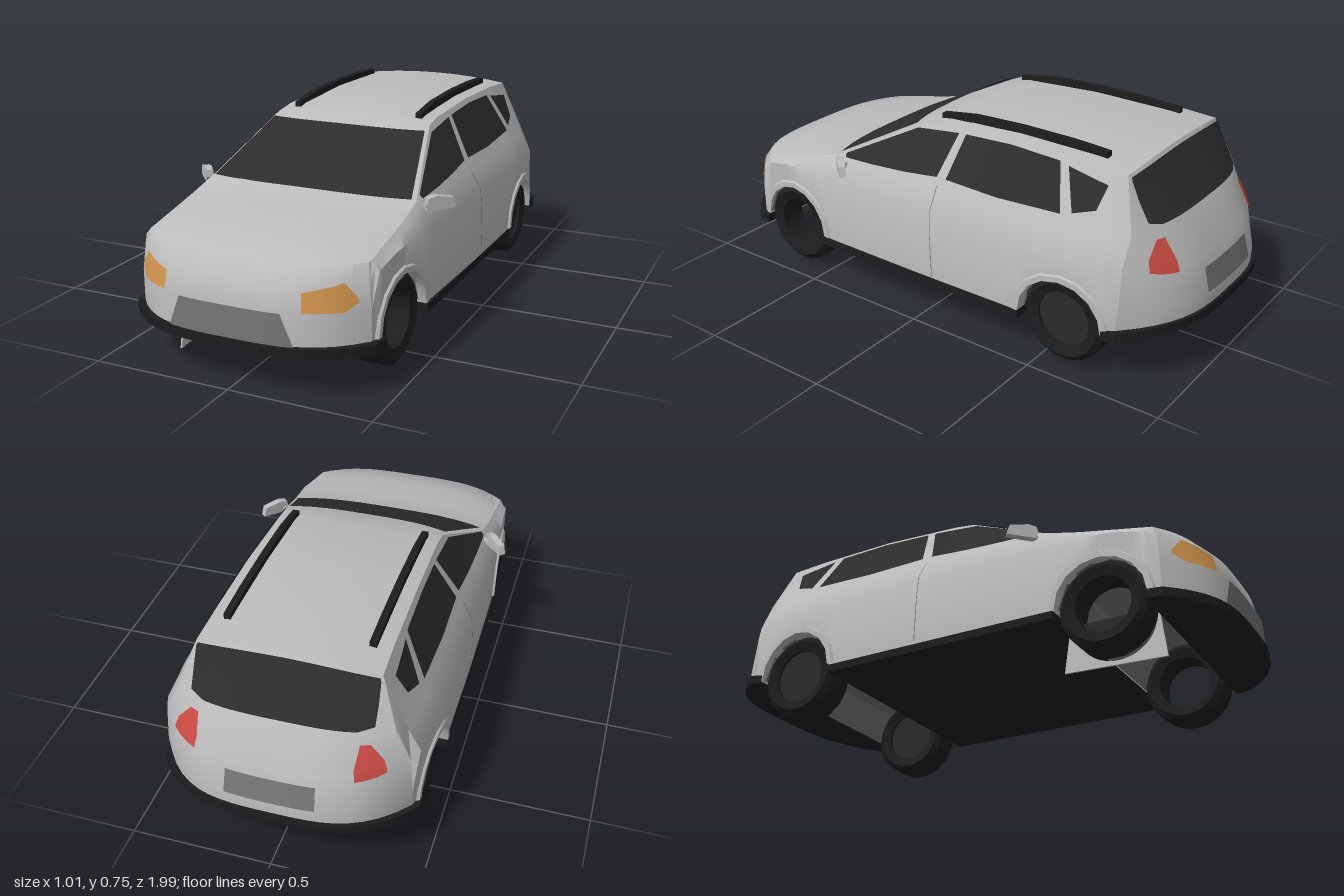
import * as THREE from 'three';
import { toCreasedNormals } from 'three/addons/utils/BufferGeometryUtils.js';

const mat = (name, color) => new THREE.MeshStandardMaterial({ name, color, side: THREE.DoubleSide });

// Rows over the body from front bumper to rear bumper:
// centre z, centre y, edge x, edge z, edge y
const ROWS = [
  [0.985, 0.16, 0.42, 0.83, 0.16], [0.98, 0.28, 0.42, 0.83, 0.28],
  [0.96, 0.365, 0.41, 0.825, 0.37], [0.905, 0.418, 0.40, 0.805, 0.42],
  [0.76, 0.465, 0.40, 0.66, 0.45], [0.6, 0.493, 0.40, 0.54, 0.475],
  [0.46, 0.513, 0.395, 0.42, 0.508], [0.11, 0.69, 0.305, 0.08, 0.687],
  [0, 0.72, 0.302, 0, 0.70], [-0.3, 0.735, 0.305, -0.3, 0.715],
  [-0.6, 0.73, 0.307, -0.6, 0.71], [-0.755, 0.72, 0.31, -0.745, 0.70],
  [-0.87, 0.53, 0.37, -0.80, 0.53], [-0.95, 0.40, 0.42, -0.80, 0.42],
  [-0.985, 0.27, 0.43, -0.80, 0.28], [-0.985, 0.215, 0.43, -0.79, 0.20],
];
const WIDTHS = [[0.84, 0.425], [0.45, 0.452], [0, 0.46], [-0.55, 0.46], [-0.8, 0.435]];
const AXLES = [0.63, -0.59], WHEEL_Y = 0.175, ARCH = 0.16;
const { lerp } = THREE.MathUtils;

// Linear lookup in knots [z, value...] with falling z
function lookup(knots, z, k = 1) {
  let i = 0;
  while (i < knots.length - 2 && z < knots[i + 1][0]) i++;
  const a = knots[i], b = knots[i + 1];
  return lerp(a[k], b[k], THREE.MathUtils.clamp((z - a[0]) / (b[0] - a[0]), 0, 1));
}

// Point on the middle surface, r = row number, t = -1..1 across
function centre(r, t, lift = 0) {
  const i = Math.min(Math.floor(r), ROWS.length - 2);
  const [zc, yc, xe, ze, ye] = ROWS[i].map((v, k) => lerp(v, ROWS[i + 1][k], r - i));
  const dz = ROWS[i + 1][0] - ROWS[i][0], dy = ROWS[i + 1][1] - ROWS[i][1], l = Math.hypot(dz, dy);
  return [xe * t, lerp(yc, ye, t * t) - dz / l * lift, lerp(zc, ze, Math.abs(t) ** 3.4) + dy / l * lift];
}

// Flank section at z, from upper edge down to the sill
const EDGE = ROWS.slice(3, 13).map(r => [r[3], r[2], r[4]]);
function section(z) {
  const x = lookup(EDGE, z, 1), y = lookup(EDGE, z, 2), w = lookup(WIDTHS, z);
  let sill = 0.17;
  for (const a of AXLES) {
    const d = Math.abs(z - a);
    if (d < ARCH) sill = WHEEL_Y + Math.sqrt(ARCH * ARCH - d * d);
  }
  return [[x, y, z], [Math.max(x + 0.015, 0.9 * w), Math.min(0.5, y - 0.015), z],
    [w, Math.min(0.42, y - 0.03), z], [w, sill, z]];
}
function flankPoint(z, y, lift) {
  const s = section(z);
  let i = 0;
  while (i < 2 && y < s[i + 1][1]) i++;
  return [lerp(s[i][0], s[i + 1][0], (y - s[i][1]) / (s[i + 1][1] - s[i][1])) + lift, y, z];
}

// Surface from a table of points
function grid(rows) {
  const n = rows[0].length, index = [];
  for (let i = 0; i < rows.length - 1; i++) for (let j = 0; j < n - 1; j++) {
    const a = i * n + j, b = a + n;
    index.push(a, a + 1, b, a + 1, b + 1, b);
  }
  const g = new THREE.BufferGeometry();
  g.setAttribute('position', new THREE.Float32BufferAttribute(rows.flat(2), 3));
  g.setIndex(index);
  return toCreasedNormals(g, 0.75);
}
const mirrored = (rows, s) => s > 0 ? rows : rows.map(c => c.map(([x, y, z]) => [-x, y, z]).reverse());
const steps = (a, b, n) => Array.from({ length: n + 1 }, (_, i) => lerp(a, b, i / n));

// Thin plate on the middle surface; cols = [t, front row, rear row] with rising t
function centrePlate(cols) {
  const ts = [];
  cols.slice(1).forEach((c, i) => ts.push(...steps(cols[i][0], c[0], Math.ceil((c[0] - cols[i][0]) / 0.09)).slice(i ? 1 : 0)));
  const knots = cols.map(c => [-c[0], c[1], c[2]]);
  return grid(steps(0, 1, 4).map(u => ts.map(t => centre(lerp(lookup(knots, -t, 1), lookup(knots, -t, 2), u), t, 0.007))));
}

// Thin plate on the flank between an upper and a lower line of [z, y]
function flankPlate(top, low, side) {
  const f = (line, u) => {
    const n = line.length - 1, i = Math.min(Math.floor(u * n), n - 1), v = u * n - i;
    return [lerp(line[i][0], line[i + 1][0], v), lerp(line[i][1], line[i + 1][1], v)];
  };
  return grid(mirrored(steps(0, 1, 12).map(u => {
    const a = f(top, u), b = f(low, u);
    return steps(0, 1, 4).map(v => flankPoint(lerp(a[0], b[0], v), lerp(a[1], b[1], v), 0.006));
  }), side));
}

export function createModel() {
  const car = new THREE.Group();
  car.name = 'car';
  const paint = mat('silverPaint', 0xbcbcbc), glass = mat('darkGlass', 0x2d2d2d), black = mat('blackTrim', 0x1d1d1d);
  const amber = mat('amberLamp', 0xd29550), red = mat('redLamp', 0xc84a44), grey = mat('greyPanel', 0x757575);
  const hubGrey = mat('hubGrey', 0x2a2a2a);
  const add = (name, geo, m, x = 0, y = 0, z = 0) => {
    const mesh = new THREE.Mesh(geo, m);
    mesh.name = name;
    mesh.position.set(x, y, z);
    car.add(mesh);
    return mesh;
  };
  // Outline drawn in (-z, y), given thickness along x
  const sideExtrude = (shape, depth) =>
    new THREE.ExtrudeGeometry(shape, { depth, bevelEnabled: false, curveSegments: 16 }).rotateY(Math.PI / 2);

  // Nose, bonnet, roof and tail
  add('bodyTop', grid(ROWS.map((_, i) => steps(-1, 1, 20).map(t => centre(i, t)))), paint);
  add('windscreen', centrePlate([[-0.965, 6, 6.9], [0.965, 6, 6.9]]), glass);
  add('rearWindow', centrePlate([[-0.97, 11.06, 11.12], [-0.85, 11.06, 11.88], [-0.7, 11.06, 11.96],
    [0.7, 11.06, 11.96], [0.85, 11.06, 11.88], [0.97, 11.06, 11.12]]), glass);
  add('grille', centrePlate([[-0.535, 0.05, 0.08], [-0.43, 0.05, 0.99], [0.43, 0.05, 0.99], [0.535, 0.05, 0.08]]), grey);
  add('numberPlatePanel', centrePlate([[-0.36, 13.25, 13.9], [0.36, 13.25, 13.9]]), grey);

  // Flank columns follow the wheel arches
  const zs = [0.25, 0.42, 0.08, 0, -0.15, -0.3];
  for (const a of AXLES) for (let i = 0; i <= 12; i++) zs.push(a + ARCH * Math.cos(i * Math.PI / 12));
  zs.sort((a, b) => b - a);
  const edgeOf = i => { const r = ROWS[i]; return [r[2], r[4], r[3]]; };
  const flank = [[3, 2, 1, 0].map(edgeOf), ...zs.map(section), [12, 13, 14, 15].map(edgeOf)];

  for (const s of [1, -1]) {
    const side = s > 0 ? 'left' : 'right';
    add(side + 'Flank', grid(mirrored(flank, s)), paint);
    add(side + 'FrontWindow', flankPlate([[0.39, 0.522], [0.245, 0.595], [0.10, 0.668], [-0.08, 0.688]],
      [[0.385, 0.51], [0.25, 0.515], [0.10, 0.525], [-0.04, 0.54]], s), glass);
    add(side + 'RearDoorWindow', flankPlate([[-0.11, 0.69], [-0.3, 0.7], [-0.5, 0.693]],
      [[-0.08, 0.54], [-0.3, 0.535], [-0.55, 0.545]], s), glass);
    add(side + 'QuarterWindow', flankPlate([[-0.535, 0.685], [-0.69, 0.66]], [[-0.59, 0.555], [-0.67, 0.58]], s), glass);
    add(side + 'DoorSeam', flankPlate([[-0.05, 0.515], [-0.053, 0.515]], [[-0.06, 0.18], [-0.063, 0.18]], s), grey);

    // Lamps
    const lamp = cols => centrePlate(s > 0 ? cols : cols.map(([t, a, b]) => [-t, a, b]).reverse());
    add(side + 'Headlight', lamp([[0.585, 1.03, 1.75], [0.86, 1.03, 2], [0.94, 1.3, 1.5]]), amber);
    add(side + 'TailLight', lamp([[0.64, 12.85, 13.1], [0.71, 12.25, 13.1], [0.79, 12.25, 13.08], [0.86, 12.7, 13.03]]), red);

    // Door mirror on its stalk
    const housing = new THREE.Shape([[-0.055, -0.005], [-0.045, -0.025], [0.055, -0.02], [0.045, 0.016], [-0.02, 0.027], [-0.05, 0.02]]
      .map(([x, y]) => new THREE.Vector2(s * x, y)));
    const housingGeo = new THREE.ExtrudeGeometry(housing, { depth: 0.026, bevelEnabled: false }).translate(0, 0, -0.013);
    add(side + 'Mirror', housingGeo, paint, s * 0.458, 0.497, 0.36).rotation.y = s * 0.84;
    add(side + 'MirrorStalk', new THREE.BoxGeometry(0.05, 0.02, 0.025), paint, s * 0.415, 0.485, 0.385);

    // Roof rail follows the roof curve
    const rail = new THREE.Shape();
    const line = [[0.04, 0.708], [-0.1, 0.728], [-0.3, 0.735], [-0.5, 0.733], [-0.64, 0.725]];
    line.forEach(([z, y], i) => i ? rail.lineTo(-z, y + 0.01) : rail.moveTo(-z, y + 0.01));
    [...line].reverse().forEach(([z, y]) => rail.lineTo(-z, y - 0.016));
    add(side + 'RoofRail', sideExtrude(rail, 0.024), black, s * 0.247 - 0.012);

    // Wheels: open rings in front, closed hubs behind
    AXLES.forEach((z, i) => {
      const name = side + (i ? 'Rear' : 'Front');
      const profile = [[0.1, -0.05], [0.135, -0.062], [0.155, -0.045], [0.155, 0.045], [0.135, 0.062], [0.1, 0.05], [0.1, -0.05]];
      const tyre = new THREE.LatheGeometry(profile.map(p => new THREE.Vector2(...p)), 18).rotateZ(Math.PI / 2);
      add(name + 'Tyre', toCreasedNormals(tyre, 0.5), black, s * 0.373, WHEEL_Y, z);
      if (i) add(name + 'Hub', new THREE.CylinderGeometry(0.102, 0.102, 0.08, 18).rotateZ(Math.PI / 2), hubGrey, s * 0.373, WHEEL_Y, z);
      // Flared lip hugging the flank
      const lip = steps(0, Math.PI, 8).map(a => [[0.186, -0.004], [0.178, 0.008], [0.158, 0.008], [0.158, -0.04]].map(([r, out]) => {
        const pz = z + r * Math.cos(a);
        return [lookup(WIDTHS, pz) + out, WHEEL_Y + r * Math.sin(a), pz];
      }));
      add(name + 'ArchLip', grid(mirrored(lip, s)), paint);
    });
  }

  // Wheel wells run across the whole car
  AXLES.forEach((z, i) => add(i ? 'rearWheelWell' : 'frontWheelWell', grid(steps(0, Math.PI, 4).map(a =>
    [-0.43, 0.43].map(x => [x, WHEEL_Y + 1.03 * ARCH * Math.sin(a), z + ARCH * Math.cos(a)]))), grey));

  // Floor with sills, front and rear bumper skirts
  add('floorAndSills', new THREE.BoxGeometry(0.925, 0.028, 0.9), black, 0, 0.157, 0.02);
  for (const [name, row, back, out, base] of [['frontSkirt', 0, 0.785, 0.012, 0.142], ['rearSkirt', 15, -0.75, -0.012, 0.168]]) {
    const pts = steps(-1, 1, 16).map(t => { const p = centre(row, t); return new THREE.Vector2(p[0] * 1.05, -p[2] - out); });
    pts.push(new THREE.Vector2(0.452, -back), new THREE.Vector2(-0.452, -back));
    const g = new THREE.ExtrudeGeometry(new THREE.Shape(pts), { depth: 0.032, bevelEnabled: false }).rotateX(-Math.PI / 2);
    const p = g.attributes.position;
    for (let i = 0; i < p.count; i++) p.setY(i, p.getY(i) + base + (row ? (back - p.getZ(i)) * 0.16 : 0));
    g.computeVertexNormals();
    add(name, g, black);
  }

  // Loose splash plate and half cover at the right front wheel
  const flap = new THREE.Shape([[-0.8, 0], [-0.45, 0], [-0.47, 0.16], [-0.78, 0.16]].map(p => new THREE.Vector2(...p)));
  const cut = new THREE.Path();
  cut.moveTo(-0.77, 0.155);
  cut.absarc(-0.63, 0.155, 0.14, Math.PI, Math.PI * 2, false);
  flap.holes.push(cut);
  add('splashPlate', sideExtrude(flap, 0.006), paint, -0.37).rotation.set(0, 0.075, -0.06);
  const cover = new THREE.Shape();
  cover.absarc(0, 0, 0.102, Math.PI + 0.25, Math.PI * 2 - 0.25, false);
  add('rightFrontHalfCover', new THREE.ShapeGeometry(cover).rotateY(Math.PI / 2), hubGrey, -0.36, WHEEL_Y, AXLES[0]);
  return car;
}
